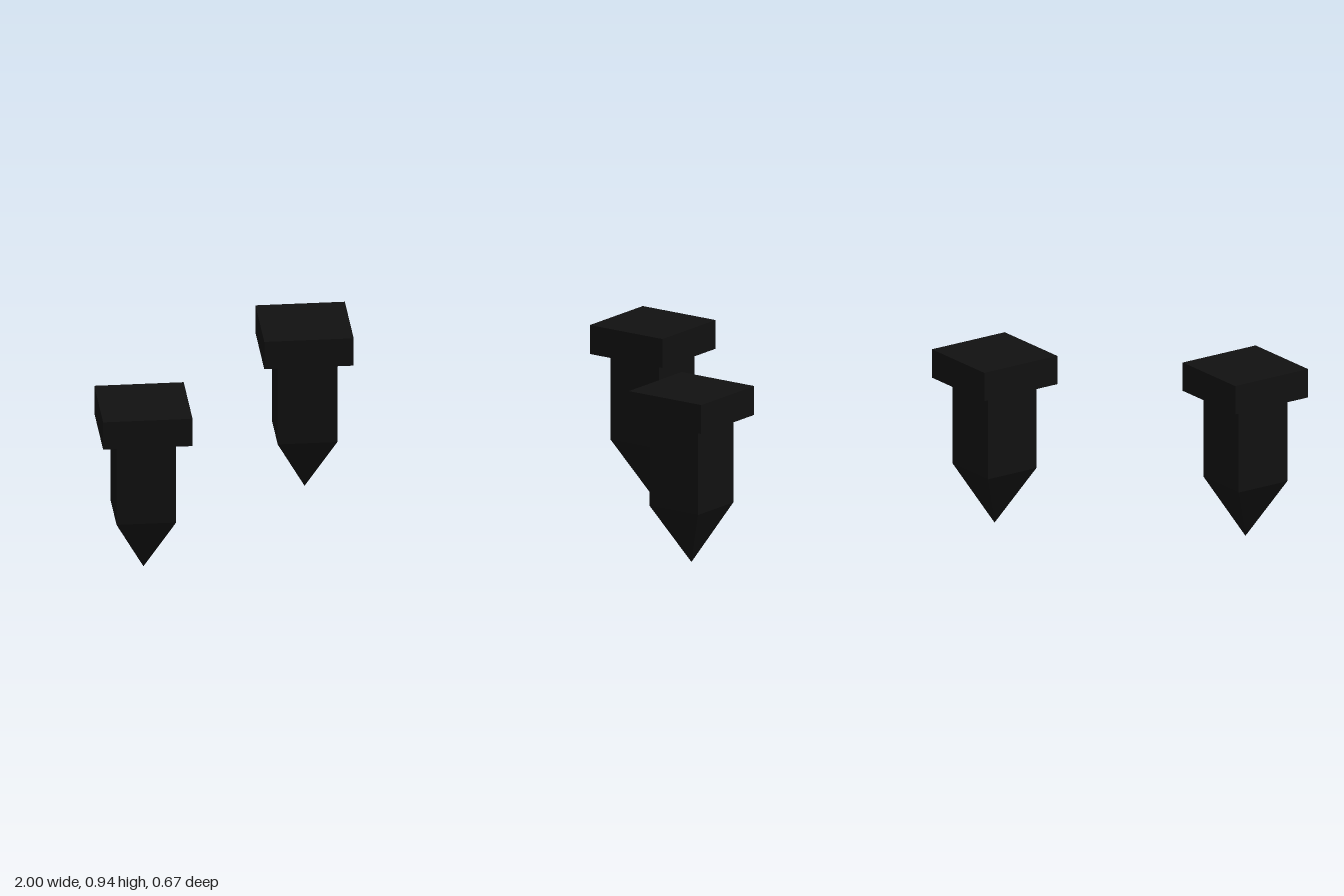
import * as THREE from 'three';

export function createModel() {
  const group = new THREE.Group();
  const black = new THREE.MeshStandardMaterial({ color: 0x111111, flatShading: true });
  black.name = 'black';

  // four-sided prism between two heights, corners on the x and z axes
  function prism(name, rTop, rBottom, y0, y1) {
    const geometry = new THREE.CylinderGeometry(rTop, rBottom, y1 - y0, 4);
    const mesh = new THREE.Mesh(geometry, black);
    mesh.name = name;
    mesh.position.y = (y0 + y1) / 2;
    return mesh;
  }

  // a matching pair of spikes
  for (const side of [-1, 1]) {
    const spike = new THREE.Group();
    spike.name = side > 0 ? 'leftSpike' : 'rightSpike';
    spike.position.x = side * 0.6667;
    spike.add(
      prism('head', 0.3333, 0.3333, 0.786, 0.943),
      prism('shaft', 0.2222, 0.2222, 0.315, 0.786),
      prism('tip', 0.2222, 0, 0, 0.315)
    );
    group.add(spike);
  }
  return group;
}
